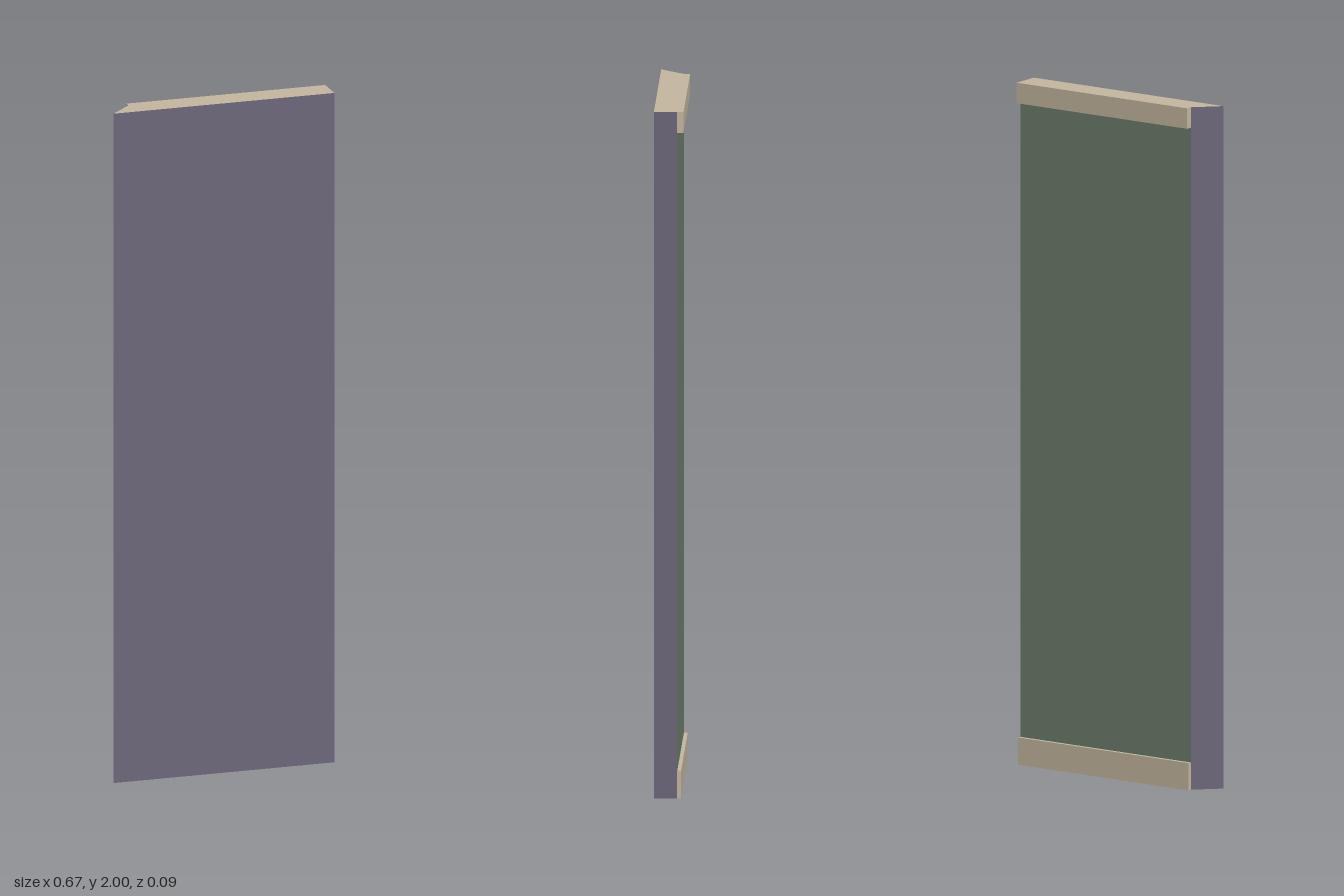
import * as THREE from 'three';

const flat = (name, color) => {
  const m = new THREE.MeshStandardMaterial({ color });
  m.name = name;
  return m;
};

export function createModel() {
  const purple = flat('purple grey paint', 0x6d677a);
  const green = flat('green backing', 0x6b7d6b);
  const beige = flat('beige trim', 0xc4b7a0);

  const left = 0.333, right = -0.334, mitre = -0.267; // x limits
  const front = 0.042, back = -0.025; // z limits of the panel
  const height = 2;

  const group = new THREE.Group();
  group.name = 'panel';

  // Axis-aligned block from its limits
  const block = (x0, x1, y0, y1, z0, z1) =>
    new THREE.BoxGeometry(x1 - x0, y1 - y0, z1 - z0)
      .translate((x0 + x1) / 2, (y0 + y1) / 2, (z0 + z1) / 2);

  // Panel board: its rear right edge is pulled in to make a 45 degree mitre
  const boardGeo = block(right, left, 0, height, back, front);
  const pos = boardGeo.attributes.position;
  for (let i = 0; i < pos.count; i++) {
    if (pos.getX(i) < 0 && pos.getZ(i) < 0) pos.setX(i, mitre);
  }
  boardGeo.computeVertexNormals();
  // Face order: left, right, top, bottom, front, back
  const board = new THREE.Mesh(boardGeo, [purple, purple, beige, purple, purple, green]);
  board.name = 'board';
  group.add(board);

  // Rails across the back, at the top and the bottom
  const addRail = (name, y0, y1, depth) => {
    const rail = new THREE.Mesh(block(mitre, left, y0, y1, back - depth, back), beige);
    rail.name = name;
    group.add(rail);
  };
  addRail('topRail', 1.94, height, 0.018);
  addRail('bottomRail', 0, 0.08, 0.011);

  return group;
}
